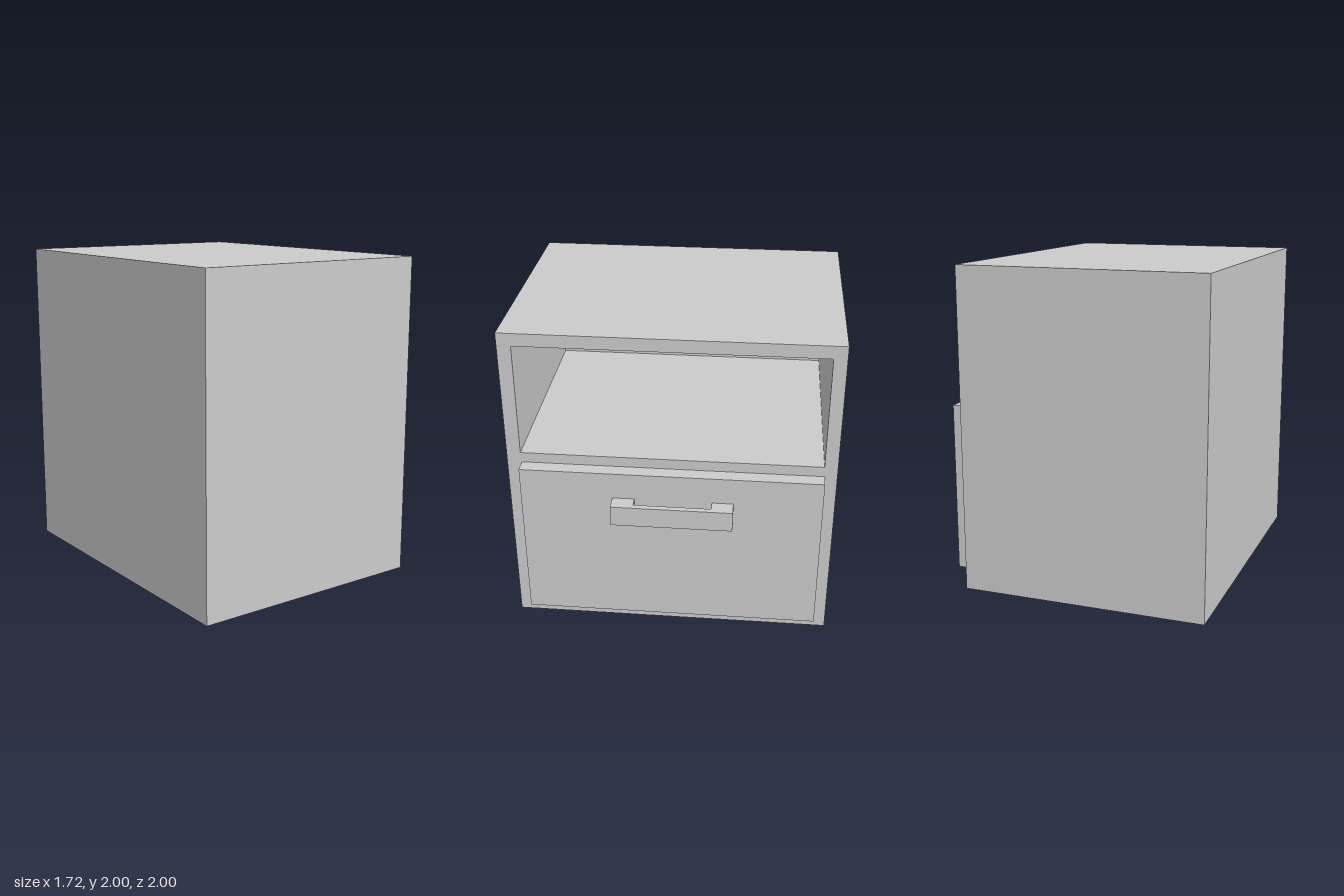
import * as THREE from 'three';

export function createModel() {
  const group = new THREE.Group();
  group.name = 'bedsideCabinet';
  const material = new THREE.MeshStandardMaterial({ color: 0xcccccc, flatShading: true });

  const add = (name, geometry) => {
    const mesh = new THREE.Mesh(geometry, material);
    mesh.name = name;
    group.add(mesh);
    return mesh;
  };
  // Box given by its lower and upper corners
  const box = (name, [x0, y0, z0], [x1, y1, z1]) =>
    add(name, new THREE.BoxGeometry(x1 - x0, y1 - y0, z1 - z0))
      .position.set((x0 + x1) / 2, (y0 + y1) / 2, (z0 + z1) / 2);
  const outline = (points) => points.map(([x, y]) => new THREE.Vector2(x, y));
  const extrude = (shape, depth) => new THREE.ExtrudeGeometry(shape, { depth, bevelEnabled: false });

  // Carcass with the open shelf compartment, extruded along x
  const face = new THREE.Shape(outline([[-1, 0], [1, 0], [1, 2], [-1, 2]]));
  face.holes.push(new THREE.Path(outline([[-0.915, 1.21], [-0.915, 1.92], [0.92, 1.92], [0.92, 1.21]])));
  add('carcass', extrude(face, 1.45).rotateY(Math.PI / 2)).position.x = -0.78;
  box('backPanel', [-0.86, 0, -1], [-0.78, 2, 1]);

  // Drawer front, standing proud of the carcass
  box('drawerFront', [0.67, 0.105, -0.925], [0.76, 1.145, 0.91]);

  // U-shaped pull handle, drawn in plan (x, -z) and extruded upwards
  const plan = new THREE.Shape(outline([
    [0.76, -0.345], [0.86, -0.345], [0.86, 0.39], [0.76, 0.39],
    [0.76, 0.26], [0.825, 0.26], [0.825, -0.21], [0.76, -0.21],
  ]));
  add('handle', extrude(plan, 0.13).rotateX(-Math.PI / 2)).position.y = 0.845;

  return group;
}
